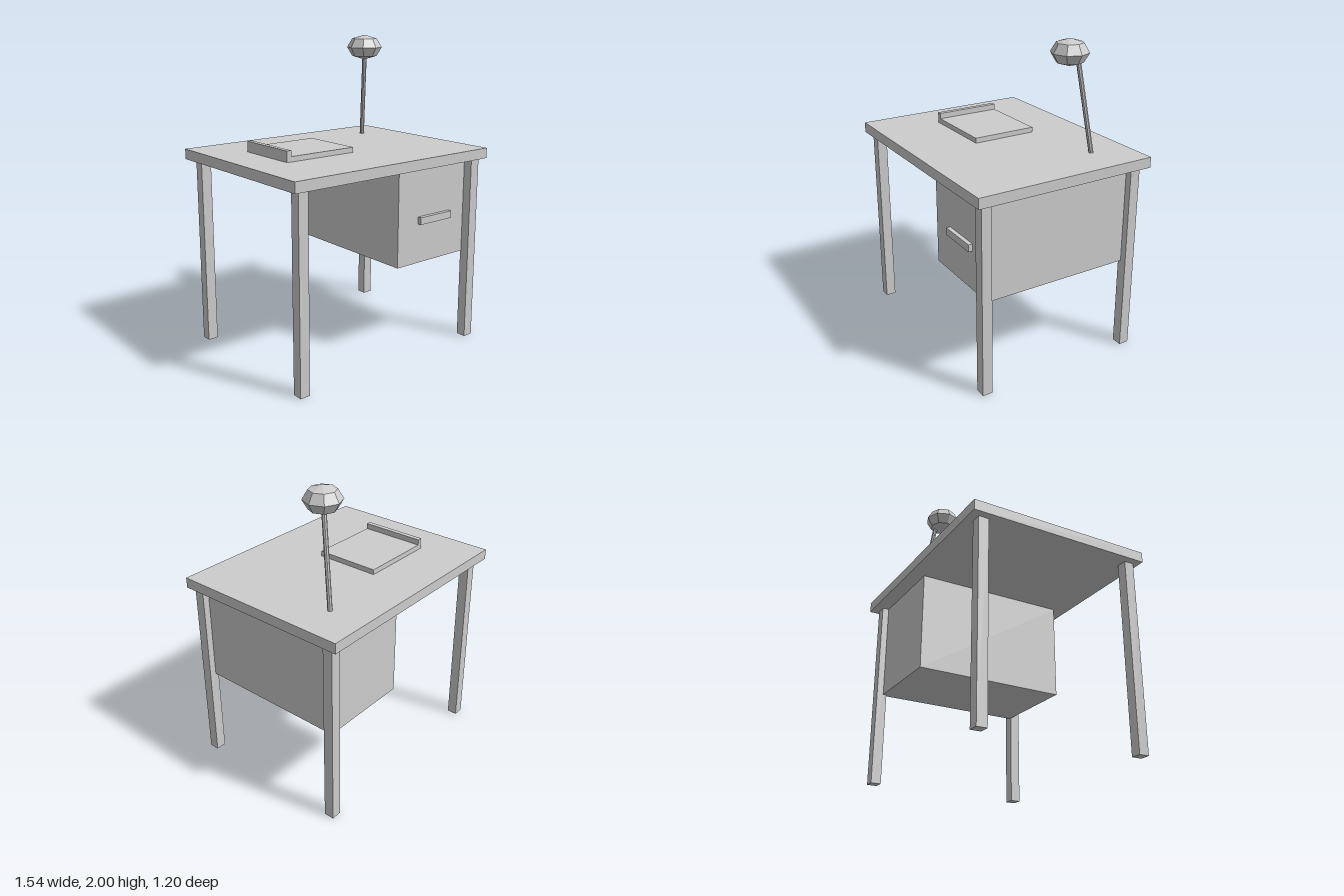
import * as THREE from 'three';

export function createModel() {
  const group = new THREE.Group();
  const grey = new THREE.MeshStandardMaterial({ color: 0xcccccc, flatShading: true });
  grey.name = 'light grey';

  const add = (name, geometry) => {
    const mesh = new THREE.Mesh(geometry, grey);
    mesh.name = name;
    group.add(mesh);
    return mesh;
  };

  // Box given by its lower and upper limits on each axis
  const box = (name, [x0, x1], [y0, y1], [z0, z1]) =>
    add(name, new THREE.BoxGeometry(x1 - x0, y1 - y0, z1 - z0))
      .position.set((x0 + x1) / 2, (y0 + y1) / 2, (z0 + z1) / 2);

  // Table top and four square legs
  box('tableTop', [-0.768, 0.768], [1.233, 1.3], [-0.6, 0.6]);
  for (const [side, x] of [['Right', -0.686], ['Left', 0.7]]) {
    for (const [end, z] of [['front', 0.53], ['back', -0.513]]) {
      box(end + side + 'Leg', [x - 0.034, x + 0.034], [0, 1.234], [z - 0.033, z + 0.033]);
    }
  }

  // Drawer cabinet with its handle
  box('drawerCabinet', [0.084, 0.69], [0.6, 1.234], [-0.503, 0.503]);
  box('drawerHandle', [0.255, 0.525], [0.858, 0.905], [0.5, 0.53]);

  // Flat tray with a raised edge
  box('trayBase', [-0.512, -0.002], [1.3, 1.333], [-0.257, 0.17]);
  box('trayEdge', [-0.512, -0.48], [1.3, 1.37], [-0.257, 0.17]);

  // Leaning lamp pole
  const foot = new THREE.Vector3(0.513, 1.29, -0.345);
  const tip = new THREE.Vector3(0.459, 1.88, -0.259);
  const along = tip.clone().sub(foot);
  const pole = add('lampPole', new THREE.CylinderGeometry(0.015, 0.015, along.length(), 8));
  pole.position.copy(foot).add(tip).multiplyScalar(0.5);
  pole.quaternion.setFromUnitVectors(new THREE.Vector3(0, 1, 0), along.normalize());

  // Squashed, faceted lamp head
  const head = add('lampHead', new THREE.SphereGeometry(0.118, 8, 4));
  head.scale.y = 0.7;
  head.position.set(0.425, 1.9174, -0.223);

  return group;
}
